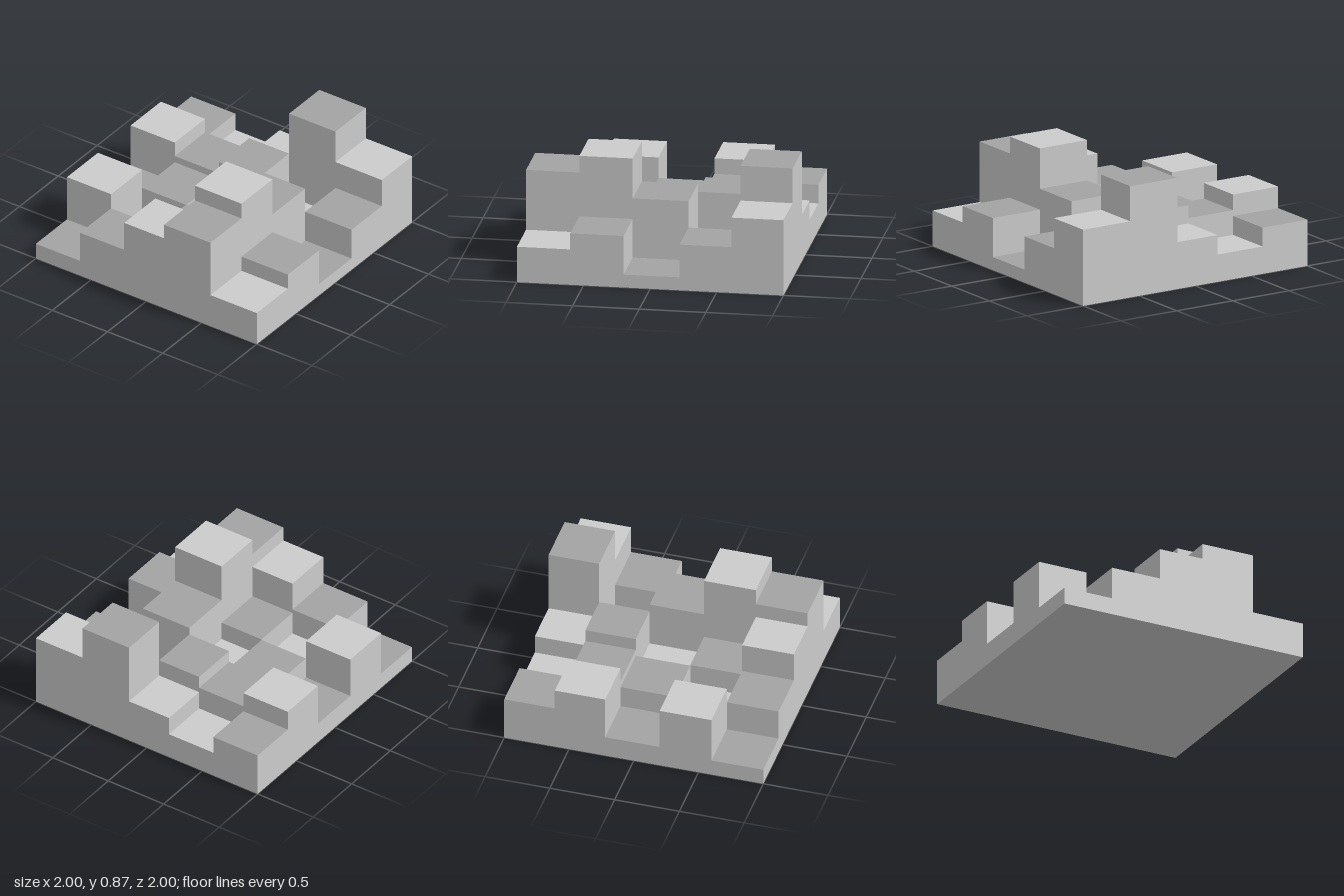
import * as THREE from 'three';

// Grid lines of the terrain, left to right and back to front
const X = [-1, -0.6, -0.2, 0.16, 0.58, 1];
const Z = [-1, -0.61, -0.22, 0.2, 0.6, 1];

// Block heights, one row per strip from back to front
const HEIGHTS = [
  [0.355, 0.21, 0.36, 0.855, 0.585],
  [0.52, 0.4, 0.5, 0.12, 0.355],
  [0.17, 0.345, 0.2, 0.56, 0.1],
  [0.505, 0.16, 0.35, 0.87, 0.4],
  [0.13, 0.38, 0.62, 0.74, 0.275],
];

// Top tone of each block: L light, D dark
const TONES = ['DLLDL', 'LDDLD', 'DDLDD', 'LLDLD', 'DDLDL'];

export function createModel() {
  const group = new THREE.Group();
  group.name = 'steppedTerrain';
  const light = new THREE.MeshStandardMaterial({ color: 0xcccccc });
  const dark = new THREE.MeshStandardMaterial({ color: 0xa3a3a3 });

  HEIGHTS.forEach((row, r) => row.forEach((h, c) => {
    const geometry = new THREE.BoxGeometry(X[c + 1] - X[c], h, Z[r + 1] - Z[r]);
    // Only the top face carries the tone; the sides and underside stay light
    const top = TONES[r][c] === 'D' ? dark : light;
    const block = new THREE.Mesh(geometry, [light, light, top, light, light, light]);
    block.name = `block row ${r + 1} column ${c + 1}`;
    block.position.set((X[c] + X[c + 1]) / 2, h / 2, (Z[r] + Z[r + 1]) / 2);
    group.add(block);
  }));
  return group;
}
